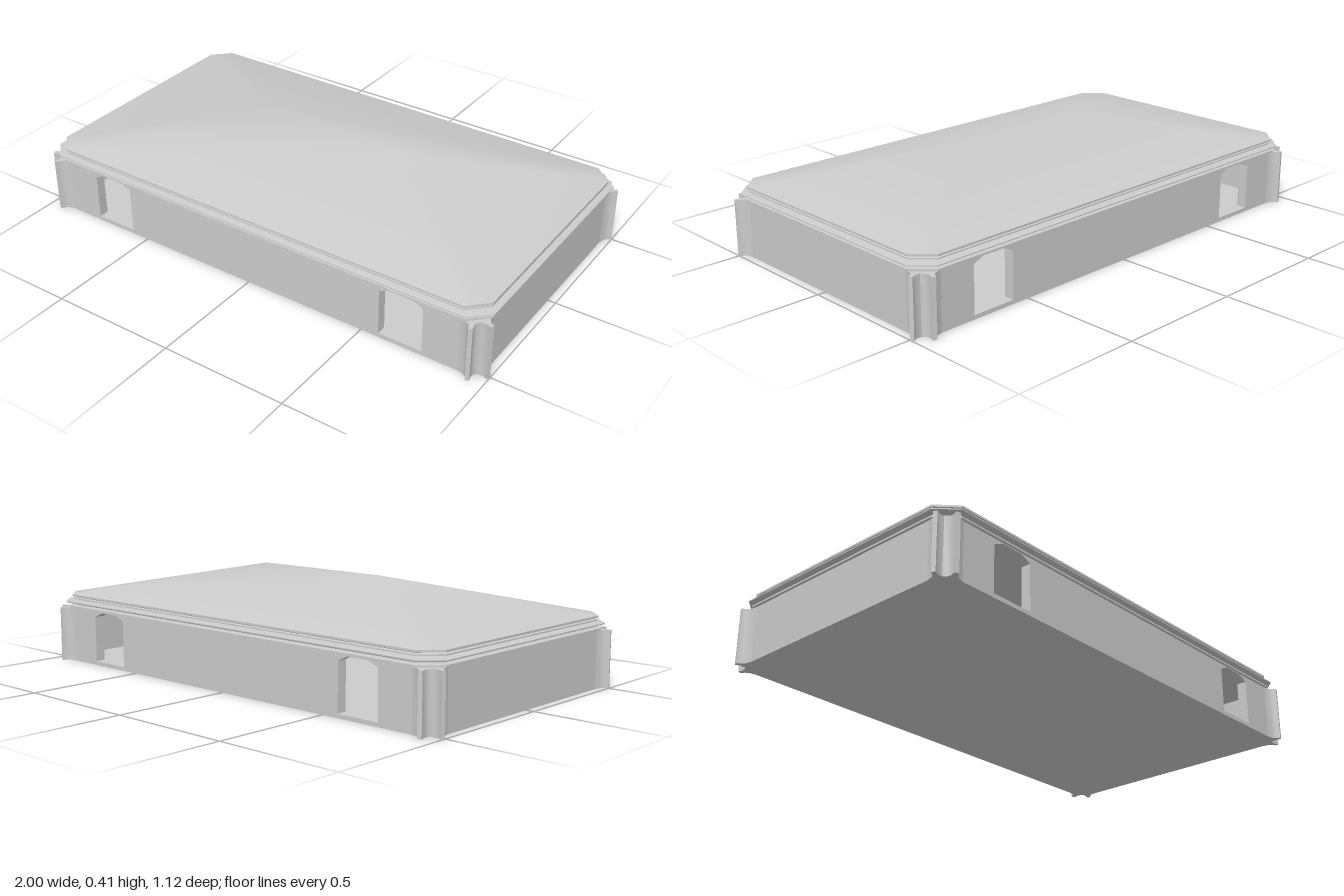
import * as THREE from 'three';
import { toCreasedNormals } from 'three/addons/utils/BufferGeometryUtils.js';

const HALF_X = 0.97, HALF_Z = 0.53, WALL = 0.04, FLOOR_Y = 0.015, WALL_TOP = 0.22;

const material = new THREE.MeshStandardMaterial({ color: 0xcccccc, side: THREE.DoubleSide });

function add(parent, name, geometry) {
  const mesh = new THREE.Mesh(geometry, material);
  mesh.name = name;
  parent.add(mesh);
  return mesh;
}

// Rectangle with cut corners, counter-clockwise seen from above, as [x, z]
function outline(d, cut = 0.07) {
  const a = HALF_X + d, b = HALF_Z + d;
  return [
    [a, b - cut], [a, cut - b], [a - cut, -b], [cut - a, -b],
    [-a, cut - b], [-a, b - cut], [cut - a, b], [a - cut, b],
  ];
}

// Upright prism from a plan of [x, z] points
function prism(plan, y0, y1) {
  const shape = new THREE.Shape(plan.map(([x, z]) => new THREE.Vector2(x, -z)));
  const geometry = new THREE.ExtrudeGeometry(shape, { depth: y1 - y0, bevelEnabled: false });
  return geometry.rotateX(-Math.PI / 2).translate(0, y0, 0);
}

function indexed(positions, index) {
  const geometry = new THREE.BufferGeometry();
  geometry.setAttribute('position', new THREE.Float32BufferAttribute(positions, 3));
  geometry.setIndex(index);
  geometry.computeVertexNormals();
  return geometry;
}

// Moulding swept round the cut-corner outline; profile is [offset, y], bottom to top
function moulding(profile) {
  const positions = [], index = [];
  profile.forEach(([d, y]) => outline(d).forEach(([x, z]) => positions.push(x, y, z)));
  for (let r = 0; r < profile.length - 1; r++) {
    for (let i = 0; i < 8; i++) {
      const p = r * 8 + i, q = r * 8 + (i + 1) % 8;
      index.push(p, q, q + 8, p, q + 8, p + 8);
    }
  }
  return toCreasedNormals(indexed(positions, index), 0.4);
}

// Hipped roof: eight eave points joined to the two ends of the ridge
function roof(eaveY, ridgeY, ridgeX) {
  const positions = outline(0).flatMap(([x, z]) => [x, eaveY, z]);
  positions.push(ridgeX, ridgeY, 0, -ridgeX, ridgeY, 0);
  const R = 8, L = 9;
  return indexed(positions, [
    0, 1, R, 1, 2, R, 2, 3, L, 2, L, R, 3, 4, L,
    4, 5, L, 5, 6, L, 6, 7, R, 6, R, L, 7, 0, R,
  ]);
}

// Long wall with two doorways whose heads have sloping shoulders
function longWall() {
  const w = HALF_X - 0.06;
  const shape = new THREE.Shape([
    [-w, FLOOR_Y], [w, FLOOR_Y], [w, WALL_TOP], [-w, WALL_TOP],
  ].map(p => new THREE.Vector2(...p)));
  for (const c of [-0.66, 0.66]) {
    shape.holes.push(new THREE.Path([
      [-0.088, FLOOR_Y + 0.001], [-0.088, 0.198], [-0.045, 0.217],
      [0.045, 0.217], [0.088, 0.198], [0.088, FLOOR_Y + 0.001],
    ].map(([x, y]) => new THREE.Vector2(c + x, y))));
  }
  return new THREE.ExtrudeGeometry(shape, { depth: WALL, bevelEnabled: false });
}

export function createModel() {
  const model = new THREE.Group();
  model.name = 'hall';

  add(model, 'floor', prism(outline(0, 0.045), 0, FLOOR_Y));

  // Walls
  add(model, 'frontWall', longWall().translate(0, 0, HALF_Z - WALL));
  add(model, 'backWall', longWall().translate(0, 0, -HALF_Z));
  for (const [name, s] of [['leftWall', 1], ['rightWall', -1]]) {
    const wall = add(model, name,
      new THREE.BoxGeometry(WALL, WALL_TOP - FLOOR_Y, 2 * HALF_Z - 0.12));
    wall.position.set(s * (HALF_X - WALL / 2), (WALL_TOP + FLOOR_Y) / 2, 0);
  }

  // Notched corner posts with two flared fins each
  const corner = [
    [0.89, 0.49], [0.89, 0.53], [0.915, 0.535], [0.928, 0.545], [0.935, 0.56],
    [0.95, 0.555], [0.944, 0.535], [0.946, 0.518], [0.957, 0.507], [0.975, 0.506],
    [0.994, 0.515], [1, 0.5], [0.985, 0.492], [0.975, 0.478], [0.97, 0.45], [0.93, 0.45],
  ];
  const posts = new THREE.Group();
  posts.name = 'cornerPosts';
  model.add(posts);
  for (const sx of [1, -1]) {
    for (const sz of [1, -1]) {
      const plan = corner.map(([x, z]) => [sx * x, sz * z]);
      add(posts, 'cornerPost', toCreasedNormals(prism(plan, 0, WALL_TOP), 0.7));
    }
  }

  // Ceiling and stepped cornice
  add(model, 'ceiling', prism(outline(-0.01), WALL_TOP - 0.001, WALL_TOP + 0.004));
  add(model, 'cornice', moulding([
    [-0.01, 0.22], [0.008, 0.222], [0.008, 0.229], [-0.018, 0.231], [-0.018, 0.237],
    [0.008, 0.24], [0.018, 0.244], [0.018, 0.248], [0.004, 0.251], [-0.016, 0.253],
    [-0.004, 0.256], [-0.004, 0.261], [-0.012, 0.264], [0, 0.268], [0, 0.276],
  ]));

  add(model, 'roof', roof(0.276, 0.41, 0.3));
  return model;
}
